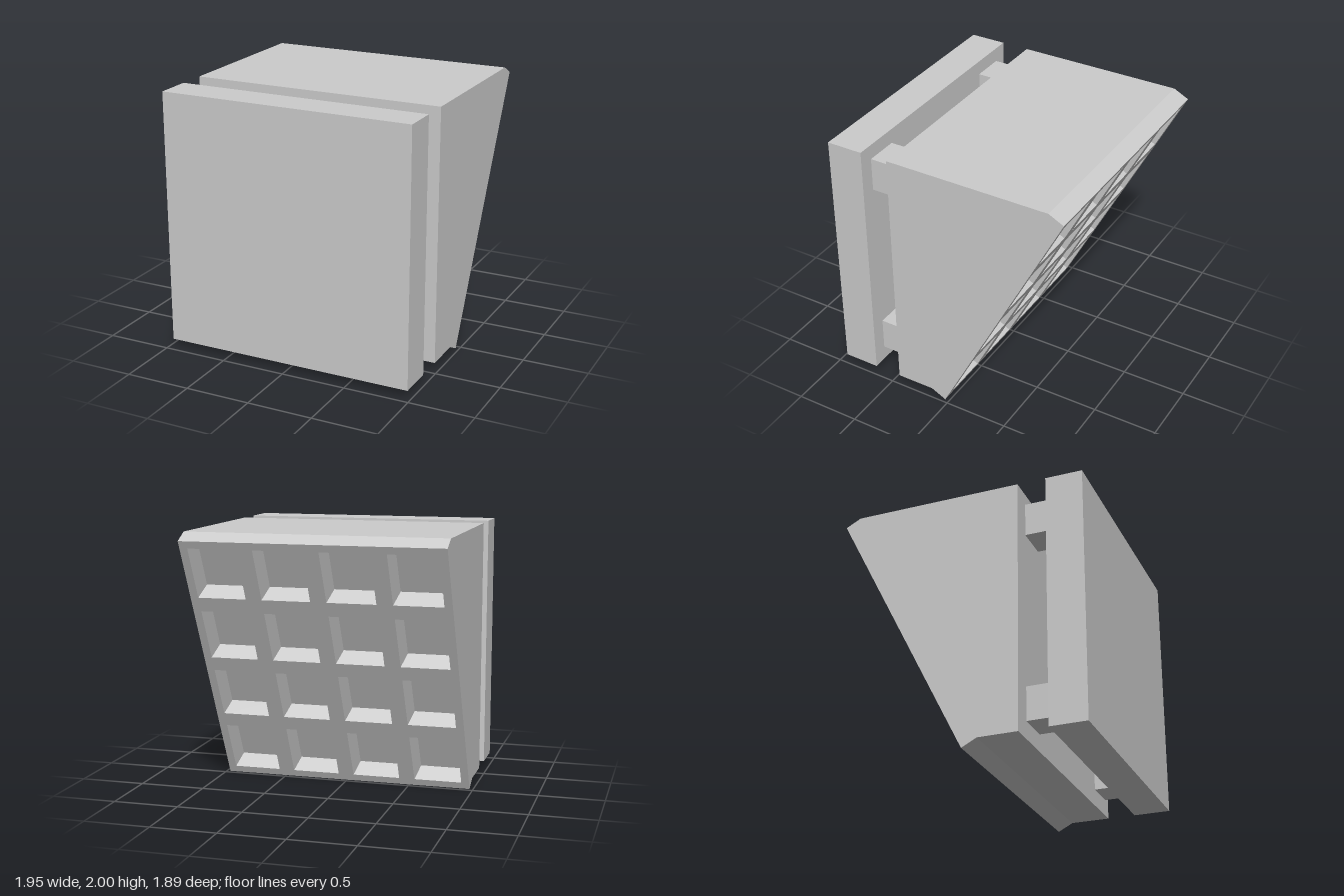
import * as THREE from 'three';

const WIDTH = 1.945;
const mat = new THREE.MeshStandardMaterial({ color: 0xcccccc, flatShading: true });

function add(parent, name, geometry, x = 0, y = 0, z = 0) {
  const mesh = new THREE.Mesh(geometry, mat);
  mesh.name = name;
  mesh.position.set(x, y, z);
  parent.add(mesh);
  return mesh;
}

// Corners of a rectangle at depth z, counter-clockwise seen from +z
const rect = (cx, cy, w, h, z) => [[-1, -1], [1, -1], [1, 1], [-1, 1]]
  .map(([sx, sy]) => [cx + sx * w / 2, cy + sy * h / 2, z]);

// Band of four quads from an outer rectangle to an inner or higher one
function band(out, a, b) {
  for (let i = 0; i < 4; i++) {
    const j = (i + 1) % 4;
    out.push(...a[i], ...a[j], ...b[j], ...a[i], ...b[j], ...b[i]);
  }
}

// Panel of tapered square pockets: front face at z = 0, back at z = -depth
function pocketPanel(w, h, depth, n, rib, taper) {
  const pos = [];
  band(pos, rect(0, 0, w, h, -depth), rect(0, 0, w, h, 0));
  const cw = w / n, ch = h / n;
  for (let r = 0; r < n; r++) {
    for (let c = 0; c < n; c++) {
      const cx = (c + 0.5) * cw - w / 2, cy = (r + 0.5) * ch - h / 2;
      const mouth = rect(cx, cy, cw - rib, ch - rib, 0);
      const floor = rect(cx, cy, cw - rib - 2 * taper, ch - rib - 2 * taper, -depth);
      band(pos, rect(cx, cy, cw, ch, 0), mouth);
      band(pos, mouth, floor);
    }
  }
  const g = new THREE.BufferGeometry();
  g.setAttribute('position', new THREE.Float32BufferAttribute(pos, 3));
  g.computeVertexNormals();
  return g;
}

export function createModel() {
  const model = new THREE.Group();
  model.name = 'wedgeBlock';

  // Front slab with four square spacers behind it
  add(model, 'frontSlab', new THREE.BoxGeometry(WIDTH, 1.94, 0.28), 0, 1.03, 0.805);
  for (const x of [-0.73, 0.73]) {
    for (const y of [0.303, 1.76]) {
      add(model, 'spacer', new THREE.BoxGeometry(0.257, 0.257, 0.2), x, y, 0.565);
    }
  }

  // Wedge body, its side profile drawn as (z, y)
  const top = new THREE.Vector2(-0.83, 2), bottom = new THREE.Vector2(0.15, 0.06);
  const profile = new THREE.Shape([
    new THREE.Vector2(0.45, 0.06), new THREE.Vector2(0.45, 2), top, bottom]);
  const wedge = new THREE.ExtrudeGeometry(profile, { depth: WIDTH, bevelEnabled: false });
  wedge.translate(0, 0, -WIDTH / 2).rotateY(-Math.PI / 2);
  add(model, 'wedgeBody', wedge);

  // Pocketed panel on the sloping back, the wedge forming the pocket floors
  const depth = 0.13;
  const up = new THREE.Vector3(0, top.y - bottom.y, top.x - bottom.x);
  const slope = up.length();
  up.normalize();
  const out = new THREE.Vector3(0, up.z, -up.y);
  const across = new THREE.Vector3().crossVectors(up, out);
  const panel = add(model, 'pocketPanel', pocketPanel(WIDTH, slope, depth, 4, 0.12, 0.03));
  panel.quaternion.setFromRotationMatrix(new THREE.Matrix4().makeBasis(across, up, out));
  panel.position.set(0, (top.y + bottom.y) / 2, (top.x + bottom.x) / 2).addScaledVector(out, depth);

  return model;
}
